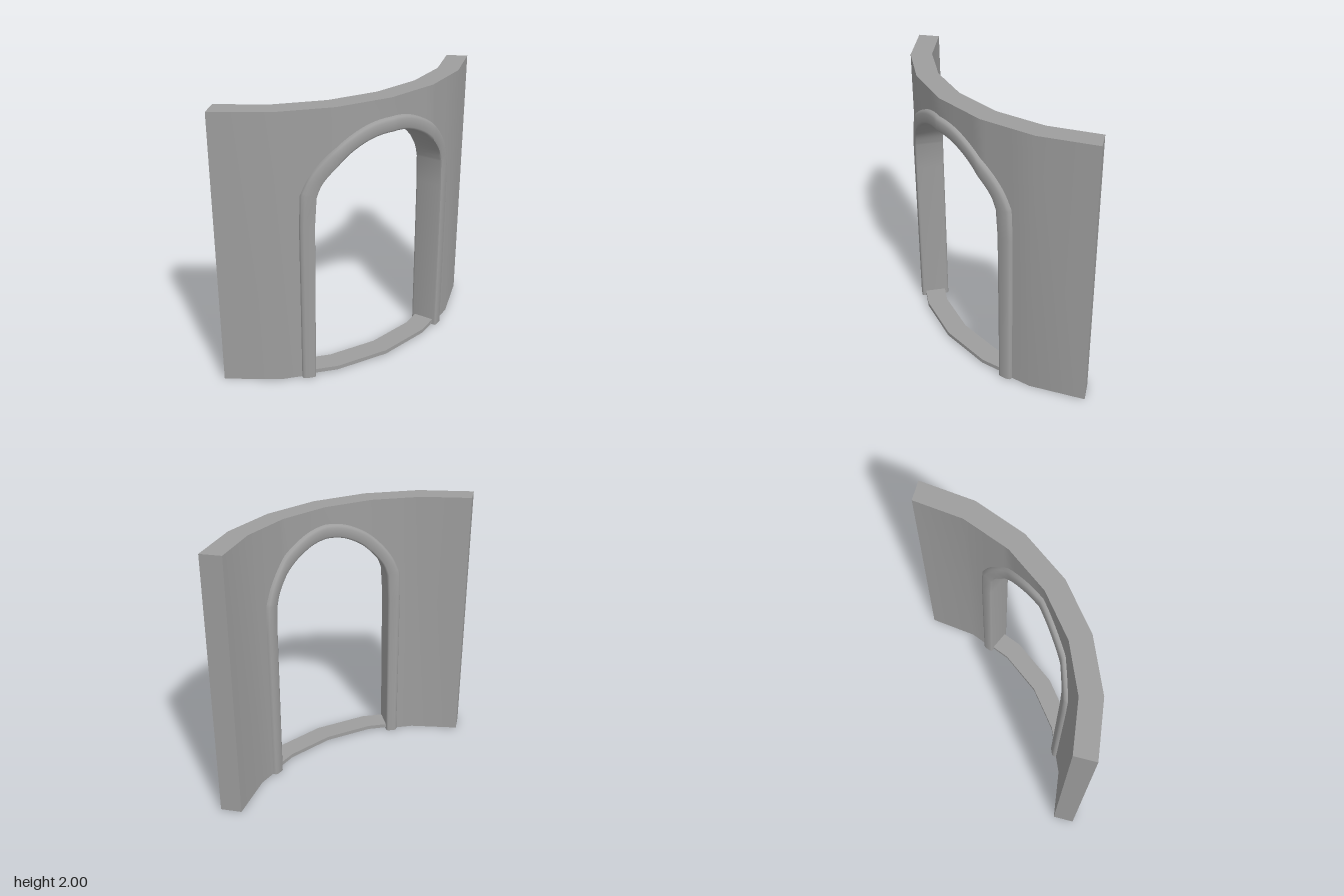
import * as THREE from 'three';
import { toCreasedNormals } from 'three/addons/utils/BufferGeometryUtils.js';

const R_IN = 1.415, R_OUT = 1.57, CENTRE = -0.785;
const rad = THREE.MathUtils.degToRad;

// s = degrees from the middle of the wall, d = distance out from radius r.
// The plan runs in straight 15 degree chords.
function place(s, y, r, d = 0) {
  const chord = Math.cos(rad(7.5)) / Math.cos(rad((Math.abs(s) % 15) - 7.5));
  const q = r * chord + d, t = rad(45 + s);
  return [CENTRE + q * Math.sin(t), y, CENTRE + q * Math.cos(t)];
}

// Closed solid through a row of convex sections with equal point counts
function loft(name, sections, crease) {
  const n = sections[0].length, pos = [];
  const tri = (a, b, c) => pos.push(...a, ...b, ...c);
  for (let i = 0; i < sections.length - 1; i++) {
    const A = sections[i], B = sections[i + 1];
    for (let j = 0; j < n; j++) {
      const k = (j + 1) % n;
      tri(A[j], A[k], B[k]);
      tri(A[j], B[k], B[j]);
    }
  }
  const first = sections[0], last = sections[sections.length - 1];
  for (let j = 1; j < n - 1; j++) {
    tri(first[0], first[j + 1], first[j]);
    tri(last[0], last[j], last[j + 1]);
  }
  const geo = new THREE.BufferGeometry();
  geo.setAttribute('position', new THREE.Float32BufferAttribute(pos, 3));
  const mesh = new THREE.Mesh(
    toCreasedNormals(geo, crease),
    new THREE.MeshStandardMaterial({ color: 0x9e9e9e })
  );
  mesh.name = name;
  return mesh;
}

// Left half of an outline of [angle, height] (foot to apex), mirrored to the right
const mirror = (half) => [
  ...half.map(([s, y]) => [-s, y]),
  ...half.slice(0, -1).reverse(),
];

// Full outline: straight legs, with a smooth curve over the arch
function archOutline(leg, arch) {
  const curve = new THREE.SplineCurve(mirror(arch).map(([s, y]) => new THREE.Vector2(s, y)));
  const top = curve.getPoints(40).map((p) => [p.x, p.y]);
  return [...leg.map(([s, y]) => [-s, y]), ...top, ...[...leg].reverse()];
}

// Rectangular wall section from height y0 to y1
const slab = (s, y0, y1) => [
  place(s, y1, R_IN), place(s, y1, R_OUT), place(s, y0, R_OUT), place(s, y0, R_IN),
];

export function createModel() {
  const group = new THREE.Group();
  group.name = 'curvedWallWithArchway';

  // Wall: two piers and the part over the arch, [angle, underside height]
  const base = 0.002;
  const wallHalf = [
    [45, base], [30, base], [23, base], [22.6, 1.3], [22.2, 1.41], [20.3, 1.52],
    [16.8, 1.63], [15, 1.67], [12.2, 1.727], [6, 1.8], [0, 1.825],
  ];
  group.add(loft('wall', mirror(wallHalf).map(([s, y]) => slab(s, y, 2)), 0.5));

  // Arch frame: inner and outer outlines, point for point
  const inner = archOutline(
    [[21, 0], [20.5, 1.2]],
    [[20, 1.4], [18.5, 1.495], [15, 1.6], [11, 1.685], [5.6, 1.75], [0, 1.77]]
  );
  const outer = archOutline(
    [[24.6, 0], [24.4, 1.2]],
    [[24, 1.42], [21.8, 1.54], [18, 1.66], [13, 1.765], [6.5, 1.845], [0, 1.87]]
  );
  // Moulding profile: u across the frame, base radius, offset from wall face
  const front = [
    [1, R_OUT, 0.008], [0.92, R_OUT, 0.022], [0.75, R_OUT, 0.03],
    [0.15, R_OUT, 0.03], [0.03, R_OUT, 0.024], [0, R_OUT, 0.012],
  ];
  const back = front.map(([u, , d]) => [u, R_IN, -d]).reverse();
  const profile = [...front, ...back];
  group.add(loft('archFrame', inner.map(([si, yi], i) => {
    const [so, yo] = outer[i];
    return profile.map(([u, r, d]) => place(si + (so - si) * u, yi + (yo - yi) * u, r, d));
  }), 0.9));

  // Thin threshold across the foot of the opening
  const sillAngles = [-22.5, -15, 0, 15, 22.5];
  group.add(loft('threshold', sillAngles.map((s) => slab(s, 0.015, 0.045)), 0.5));

  return group;
}
